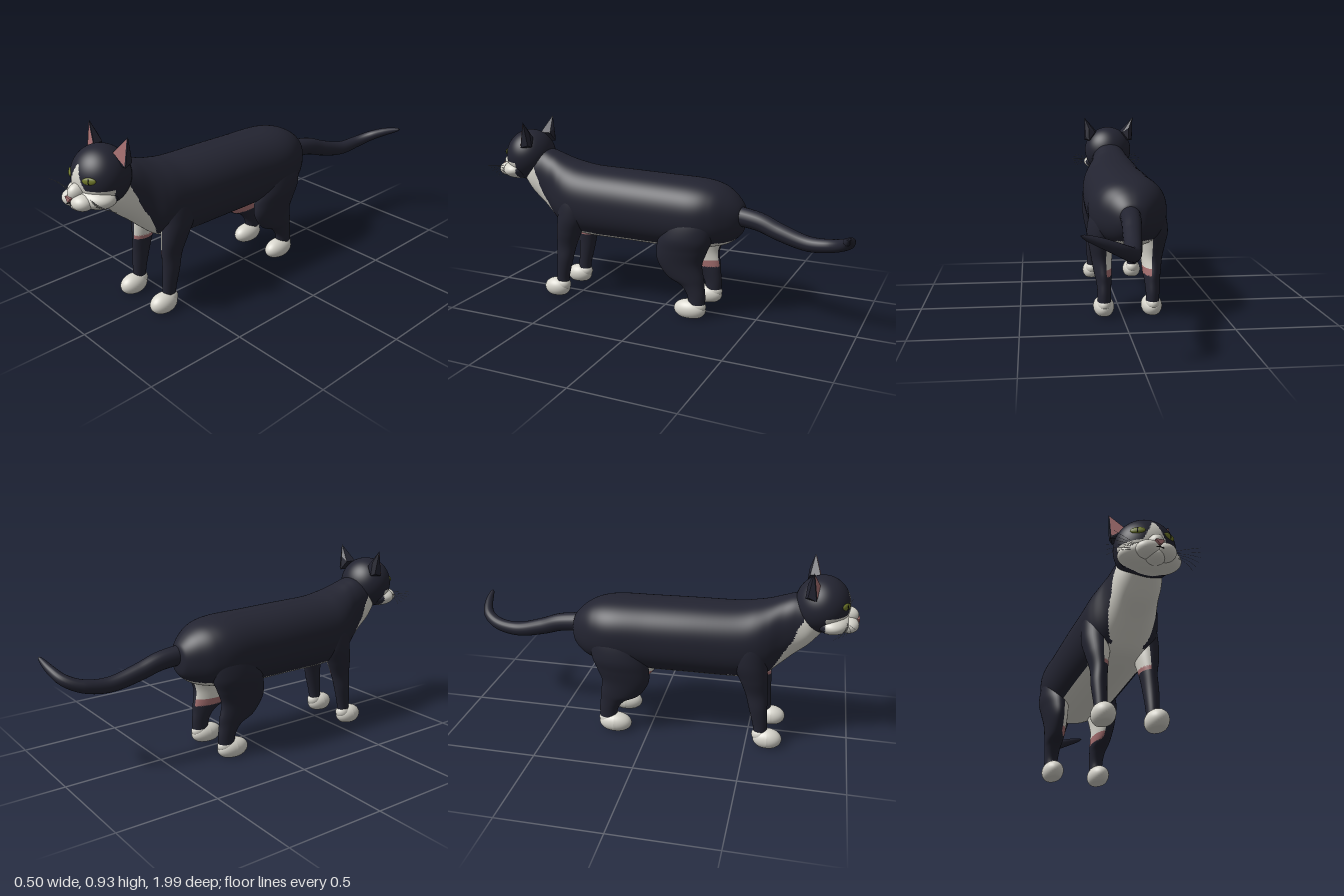
import * as THREE from 'three';
import { ConvexGeometry } from 'three/addons/geometries/ConvexGeometry.js';

const V = (x, y, z) => new THREE.Vector3(x, y, z);

export function createModel() {
  const model = new THREE.Group();
  model.name = 'cat';
  const cat = new THREE.Group();
  cat.name = 'catBody';
  cat.position.x = -0.033;
  model.add(cat);

  const material = (name, color) => {
    const m = new THREE.MeshStandardMaterial({ color });
    m.name = name;
    return m;
  };
  const black = material('blackFur', 0x232431);
  const white = material('whiteFur', 0xd8d6cd);
  const pink = material('pinkSkin', 0xa87172);
  pink.side = THREE.DoubleSide;
  const green = material('eyeGreen', 0x717a2a);
  const dark = material('pupilBlack', 0x0c0c0e);
  const grey = material('whiskerGrey', 0x77777a);

  function add(name, geometry, mat) {
    const mesh = new THREE.Mesh(geometry, mat);
    mesh.name = name;
    cat.add(mesh);
    return mesh;
  }

  // Sort the triangles into one group per fur colour; rule(centre, normal) picks it
  function addPainted(name, geo, rule) {
    const mats = [black, white, pink], buckets = [[], [], []];
    const pos = geo.attributes.position, idx = geo.index.array;
    const tri = new THREE.Triangle(), c = V(), n = V();
    for (let i = 0; i < idx.length; i += 3) {
      tri.setFromAttributeAndIndices(pos, idx[i], idx[i + 1], idx[i + 2]);
      tri.getMidpoint(c);
      tri.getNormal(n);
      buckets[mats.indexOf(rule(c, n))].push(idx[i], idx[i + 1], idx[i + 2]);
    }
    geo.setIndex(buckets.flat());
    let start = 0;
    buckets.forEach((b, k) => {
      if (b.length) geo.addGroup(start, b.length, k);
      start += b.length;
    });
    return add(name, geo, mats);
  }

  // Smooth skin over cross-sections; ring(row, angle) gives a point of a section
  function loft(rows, ring, steps = 80, sides = 64) {
    const sample = t => {
      const f = t * (rows.length - 1), i = Math.min(Math.floor(f), rows.length - 2), u = f - i;
      const a = rows[Math.max(i - 1, 0)], b = rows[i], c = rows[i + 1], d = rows[Math.min(i + 2, rows.length - 1)];
      return b.map((v, k) => v + 0.5 * u * (c[k] - a[k] + u * (2 * a[k] - 5 * v + 4 * c[k] - d[k]
        + u * (3 * (v - c[k]) + d[k] - a[k]))));
    };
    const pts = [], index = [], ends = [V(0, 0, 0), V(0, 0, 0)];
    for (let i = 0; i <= steps; i++) {
      const row = sample(i / steps);
      for (let j = 0; j < sides; j++) {
        const p = ring(row, j / sides * Math.PI * 2);
        pts.push(p);
        if (i === 0) ends[0].addScaledVector(p, 1 / sides);
        if (i === steps) ends[1].addScaledVector(p, 1 / sides);
      }
    }
    const last = steps * sides, c0 = pts.length;
    pts.push(...ends);
    for (let j = 0; j < sides; j++) {
      const k = (j + 1) % sides;
      for (let i = 0; i < last; i += sides) {
        index.push(i + j, i + k, i + sides + k, i + j, i + sides + k, i + sides + j);
      }
      index.push(c0, k, j, c0 + 1, last + j, last + k);
    }
    const geo = new THREE.BufferGeometry().setFromPoints(pts);
    geo.setIndex(index);
    geo.computeVertexNormals();
    return geo;
  }

  const ellipsoid = (c, r, w = 32, h = 24) =>
    new THREE.SphereGeometry(1, w, h).scale(...r).translate(...c);

  // Torso and neck: z, top, bottom, half width
  const torso = [
    [-0.412, 0.55, 0.48, 0.03], [-0.4, 0.585, 0.43, 0.07], [-0.35, 0.635, 0.385, 0.12],
    [-0.28, 0.672, 0.36, 0.165], [-0.18, 0.69, 0.345, 0.19], [0, 0.695, 0.335, 0.188],
    [0.2, 0.7, 0.335, 0.186], [0.42, 0.705, 0.335, 0.18], [0.52, 0.72, 0.345, 0.172],
    [0.58, 0.735, 0.365, 0.155], [0.64, 0.757, 0.415, 0.128], [0.7, 0.775, 0.47, 0.112],
    [0.77, 0.77, 0.53, 0.1], [0.83, 0.74, 0.6, 0.07],
  ];
  const round = v => Math.sign(v) * Math.abs(v) ** 0.88;
  const torsoRing = ([z, top, bottom, w], a) =>
    V(w * round(Math.cos(a)), (top + bottom) / 2 + (top - bottom) / 2 * round(Math.sin(a)), z);
  addPainted('torso', loft(torso, torsoRing, 110, 96), (c, n) => {
    const x = Math.abs(c.x);
    const bib = x < 0.11 && c.z > 0.56 && c.y < 0.41 + (c.z - 0.605) * 2;
    const belly = n.y < -0.72 && x < 0.12;
    return bib || belly ? white : black;
  });

  // Legs: x offset, y, z, half width, half depth
  const foreleg = [
    [0.119, 0.04, 0.57, 0.029, 0.034], [0.119, 0.1, 0.57, 0.029, 0.035], [0.12, 0.2, 0.555, 0.035, 0.045],
    [0.116, 0.28, 0.543, 0.038, 0.055], [0.117, 0.36, 0.525, 0.053, 0.07], [0.115, 0.45, 0.5, 0.066, 0.085],
    [0.1, 0.56, 0.49, 0.068, 0.09], [0.08, 0.64, 0.49, 0.04, 0.06],
  ];
  const hindLeg = [
    [0.12, 0.04, -0.21, 0.033, 0.044], [0.12, 0.11, -0.21, 0.033, 0.047], [0.12, 0.165, -0.188, 0.037, 0.064],
    [0.122, 0.205, -0.15, 0.044, 0.1], [0.126, 0.28, -0.12, 0.052, 0.12], [0.128, 0.35, -0.13, 0.063, 0.134],
    [0.125, 0.42, -0.15, 0.075, 0.14], [0.11, 0.52, -0.17, 0.07, 0.13], [0.08, 0.62, -0.18, 0.05, 0.09],
  ];
  for (const s of [1, -1]) {
    const side = s > 0 ? 'left' : 'right';
    const legRing = ([x, y, z, rx, rz], a) => V(s * x + rx * Math.cos(a), y, z - rz * Math.sin(a));
    addPainted(side + 'Foreleg', loft(foreleg, legRing, 70, 40), c => {
      if (c.x * s > 0.108 || c.y < 0.29) return black;
      return c.y < 0.308 ? pink : white;
    });
    addPainted(side + 'HindLeg', loft(hindLeg, legRing, 70, 48), (c, n) => {
      if (n.x * s > -0.5 || c.y < 0.2) return black;
      return c.y < 0.235 ? pink : white;
    });

    // Paws with flat soles
    for (const [name, z, rz] of [['ForePaw', 0.608, 0.073], ['HindPaw', -0.175, 0.085]]) {
      const geo = ellipsoid([s * 0.12, 0.038, z], [0.052, 0.052, rz]);
      const p = geo.attributes.position;
      for (let i = 0; i < p.count; i++) p.setY(i, Math.max(p.getY(i), 0));
      geo.computeVertexNormals();
      add(side + name, geo, white);
      const cuffZ = z > 0 ? 0.57 : -0.21;
      add(side + name + 'Cuff', ellipsoid([s * 0.12, 0.058, cuffZ], [0.036, 0.036, z > 0 ? 0.041 : 0.051]), white);
    }
  }

  // Tail: a tube tapered towards the tip
  const tailCurve = new THREE.CatmullRomCurve3([
    V(0.013, 0.53, -0.36), V(0.023, 0.51, -0.5), V(0.033, 0.475, -0.6), V(0.048, 0.438, -0.75),
    V(0.068, 0.45, -0.87), V(0.113, 0.48, -0.94), V(0.183, 0.515, -0.97), V(0.284, 0.555, -0.985),
  ]);
  const tailSteps = 60, tailSides = 20;
  const tail = new THREE.TubeGeometry(tailCurve, tailSteps, 1, tailSides);
  const tp = tail.attributes.position, q = V();
  for (let i = 0; i < tp.count; i++) {
    const t = Math.floor(i / (tailSides + 1)) / tailSteps, mid = tailCurve.getPointAt(t);
    const r = (0.049 - 0.03 * t ** 1.3) * Math.sqrt(Math.max(0, 1 - t ** 12));
    q.fromBufferAttribute(tp, i).sub(mid).multiplyScalar(r).add(mid);
    tp.setXYZ(i, q.x, q.y, q.z);
  }
  add('tail', tail, black);

  // Head with a white blaze and white lower face
  const faceRule = c => {
    const x = Math.abs(c.x);
    const lower = c.y < 0.708 && c.z > 0.84;
    const blaze = c.z > 0.85 && c.y < 0.81 && x < 0.006 + 0.45 * (0.81 - c.y);
    return lower || blaze ? white : black;
  };
  addPainted('head', ellipsoid([0, 0.735, 0.82], [0.138, 0.137, 0.13], 128, 96), faceRule);
  addPainted('cheeks', ellipsoid([0, 0.66, 0.872], [0.142, 0.056, 0.092], 96, 48), faceRule);
  add('noseBridge', ellipsoid([0, 0.69, 0.938], [0.036, 0.042, 0.053]), white);
  add('chin', ellipsoid([0, 0.63, 0.935], [0.045, 0.028, 0.045]), white);

  // Nose and mouth
  const noseShape = new THREE.Shape([[-0.019, 0.008], [-0.003, -0.012], [0.003, -0.012], [0.019, 0.008], [0, 0.011]]
    .map(p => new THREE.Vector2(...p)));
  const nose = add('nose', new THREE.ExtrudeGeometry(noseShape,
    { depth: 0.012, bevelSize: 0.001, bevelThickness: 0.001, bevelSegments: 2 }), pink);
  nose.position.set(0, 0.669, 0.984);

  for (const s of [1, -1]) {
    const side = s > 0 ? 'left' : 'right';
    add(side + 'MuzzlePuff', ellipsoid([s * 0.036, 0.653, 0.945], [0.054, 0.038, 0.05]), white);
    const lip = new THREE.CatmullRomCurve3([V(0, 0.657, 0.987), V(s * 0.002, 0.65, 0.987), V(s * 0.018, 0.643, 0.99)]);
    add(side + 'Lip', new THREE.TubeGeometry(lip, 10, 0.0022, 6), dark);

    // Eye and slit pupil, laid flat on the face
    const eye = new THREE.Group();
    eye.name = side + 'Eye';
    eye.position.set(s * 0.072, 0.755, 0.928);
    eye.rotation.set(-0.12, s * 0.52, s * 0.08, 'YXZ');
    const iris = new THREE.Mesh(ellipsoid([0, 0, 0], [0.033, 0.016, 0.008]), green);
    iris.name = 'iris';
    const pupil = new THREE.Mesh(ellipsoid([0, 0, 0.0045], [0.004, 0.013, 0.005], 16, 12), dark);
    pupil.name = 'pupil';
    eye.add(iris, pupil);
    cat.add(eye);

    // Ear: dark shell with a pink plate in front
    const front = [V(s * 0.145, 0.932, 0.768), V(s * 0.144, 0.796, 0.79), V(s * 0.07, 0.848, 0.8)];
    const back = [V(s * 0.105, 0.796, 0.79), V(s * 0.118, 0.798, 0.738), V(s * 0.138, 0.81, 0.75),
      V(s * 0.082, 0.845, 0.75), V(s * 0.12, 0.87, 0.745)];
    add(side + 'Ear', new ConvexGeometry([...front, ...back]), black);
    const mid = V(s * 0.118, 0.862, 0.786);
    const inner = front.map(p => p.clone().lerp(mid, 0.12).add(V(0, 0, 0.003)));
    const innerGeo = new THREE.BufferGeometry().setFromPoints(s > 0 ? [inner[0], inner[2], inner[1]] : inner);
    innerGeo.computeVertexNormals();
    add(side + 'InnerEar', innerGeo, pink);

    // Whiskers fan out from the cheek
    for (let i = 0; i < 6; i++) {
      const f = i / 5 - 0.5;
      const path = new THREE.QuadraticBezierCurve3(V(s * 0.08, 0.664 + f * 0.025, 0.935),
        V(s * 0.15, 0.672 + f * 0.04, 0.94 + f * 0.03), V(s * (0.215 - Math.abs(f) * 0.04), 0.667 + f * 0.06, 0.925 + f * 0.09));
      add(side + 'Whisker', new THREE.TubeGeometry(path, 8, 0.0008, 4), grey);
    }
  }
  return model;
}
